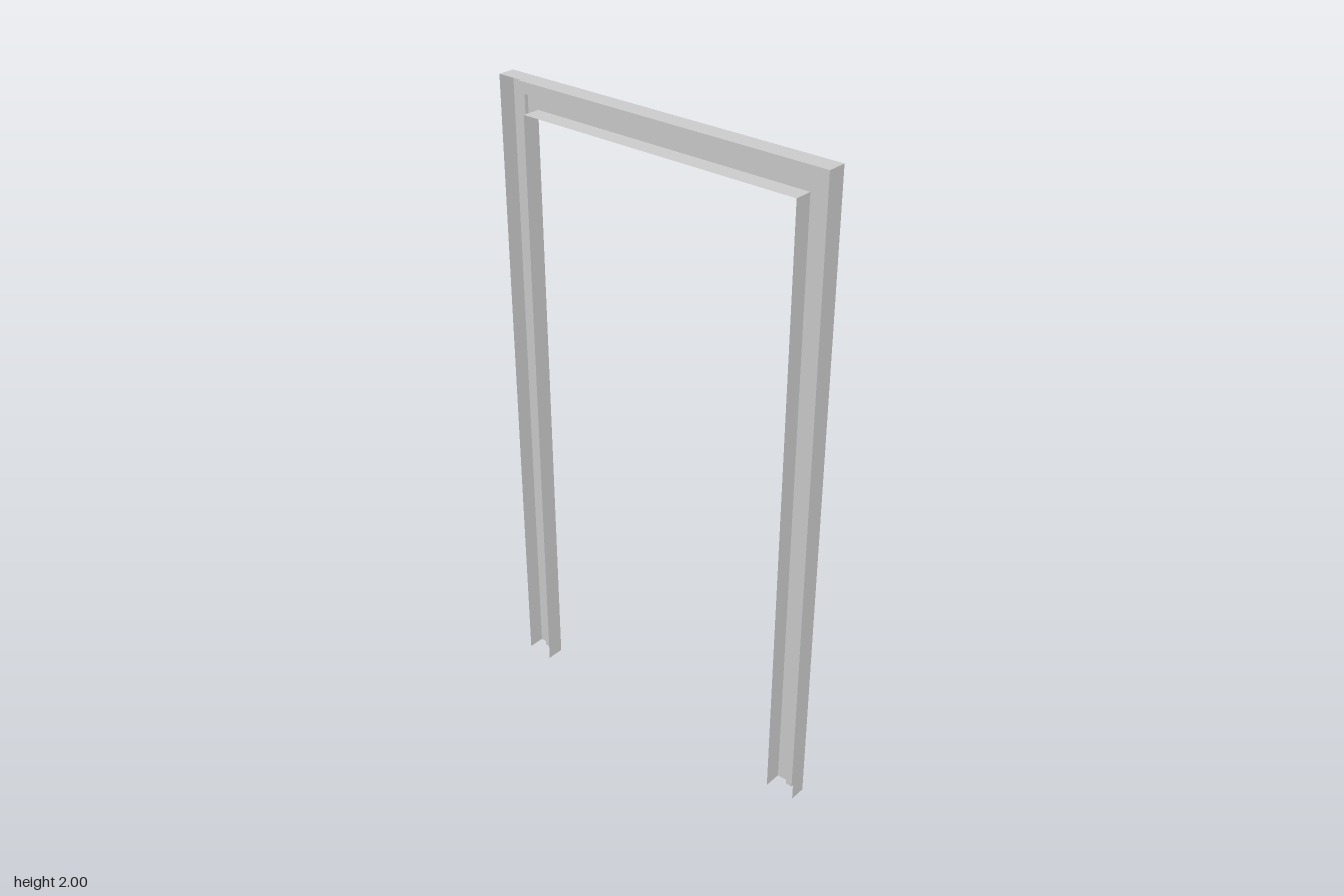
import * as THREE from 'three';

const W = 0.558, H = 2;

// Folded-sheet section, outer lip to inner lip: [inset on jambs, inset on head, z]
const section = [
  [0, 0, 0.024],
  [0, 0, -0.028],
  [0.032, 0.021, -0.028],
  [0.032, 0.021, -0.016],
  [0.054, 0.055, -0.016],
  [0.054, 0.055, -0.028],
  [0.093, 0.095, -0.028],
  [0.093, 0.095, 0.028],
];

const material = new THREE.MeshStandardMaterial({
  color: 0xcccccc, flatShading: true, side: THREE.DoubleSide,
});

// Joins two matching section outlines with one flat strip per fold
function member(name, start, end) {
  const positions = [];
  for (let i = 0; i < section.length - 1; i++) {
    const a = start(section[i]), b = end(section[i]);
    const c = end(section[i + 1]), d = start(section[i + 1]);
    positions.push(...a, ...b, ...c, ...a, ...c, ...d);
  }
  const geometry = new THREE.BufferGeometry();
  geometry.setAttribute('position', new THREE.Float32BufferAttribute(positions, 3));
  geometry.computeVertexNormals();
  const mesh = new THREE.Mesh(geometry, material);
  mesh.name = name;
  return mesh;
}

export function createModel() {
  const group = new THREE.Group();
  group.name = 'doorFrame';

  // Section at the floor and at the mitred top corner of either side
  const foot = (s) => ([j, , z]) => [s * (W - j), 0, z];
  const mitre = (s) => ([j, h, z]) => [s * (W - j), H - h, z];

  group.add(
    member('leftJamb', foot(1), mitre(1)),
    member('head', mitre(1), mitre(-1)),
    member('rightJamb', mitre(-1), foot(-1)),
  );
  return group;
}
